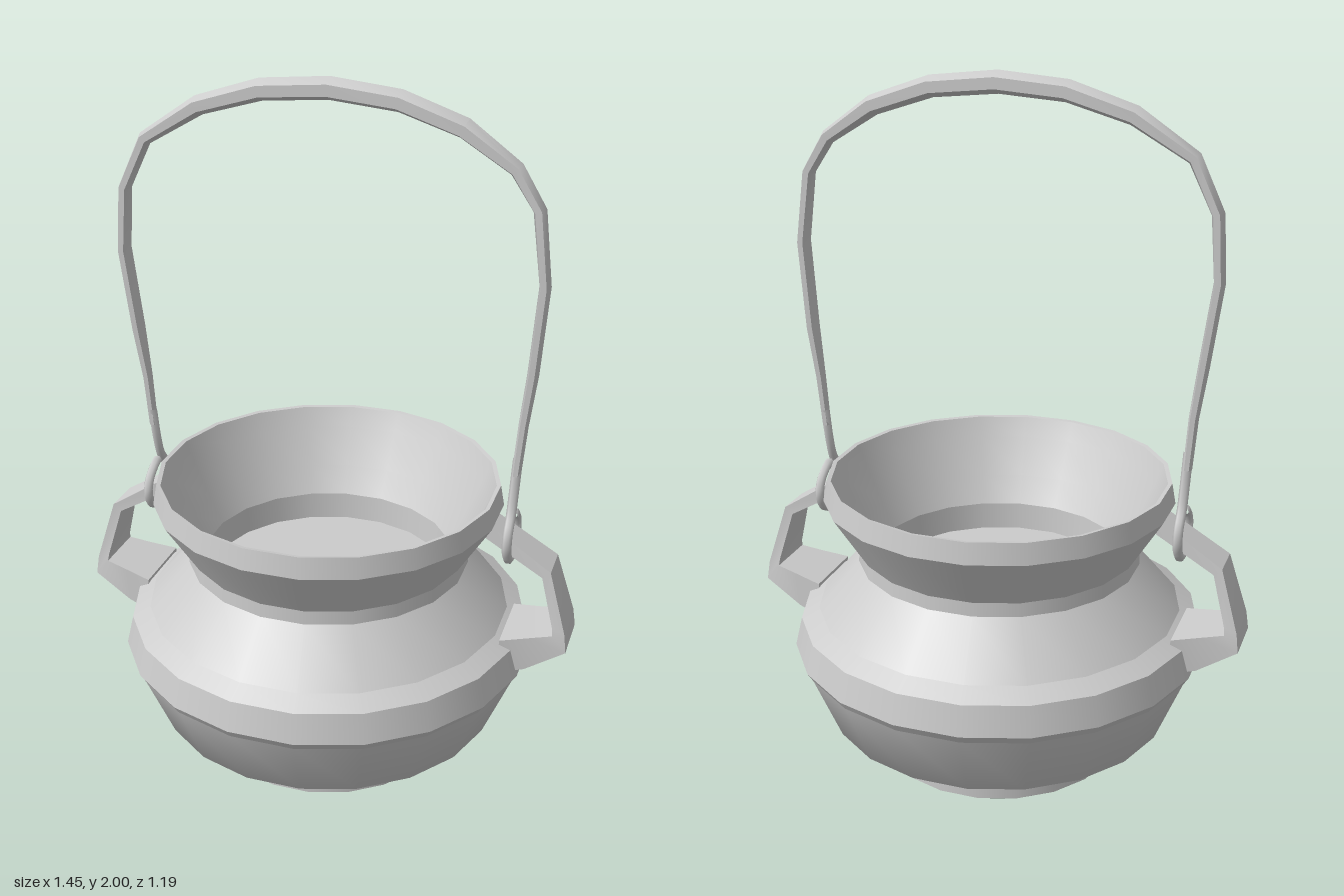
import * as THREE from 'three';
import { mergeGeometries, toCreasedNormals } from 'three/addons/utils/BufferGeometryUtils.js';

const SIDES = 20;
const metal = new THREE.MeshStandardMaterial({ color: 0xcccccc });

function part(name, geometry) {
  const mesh = new THREE.Mesh(geometry, metal);
  mesh.name = name;
  return mesh;
}

// Each section is smooth in itself; the joints between sections stay sharp.
function turned(sections) {
  return mergeGeometries(sections.map((pts) => new THREE.LatheGeometry(
    pts.map(([r, y]) => new THREE.Vector2(r, y)), SIDES, Math.PI / SIDES)));
}

// Skin a row of equal-sized rings (counter-clockwise about the travel direction), with end caps.
function loft(rings, crease) {
  const n = rings[0].length, index = [], last = (rings.length - 1) * n;
  for (let r = 0; r < rings.length - 1; r++) {
    for (let i = 0; i < n; i++) {
      const a = r * n + i, b = r * n + (i + 1) % n;
      index.push(a, b, b + n, a, b + n, a + n);
    }
  }
  for (let i = 1; i < n - 1; i++) {
    index.push(0, i + 1, i, last, last + i, last + i + 1);
  }
  const g = new THREE.BufferGeometry();
  g.setAttribute('position', new THREE.Float32BufferAttribute(rings.flat(2), 3));
  g.setIndex(index);
  return toCreasedNormals(g, crease);
}

// Side lug: [inner x, inner y, outer x, outer y, half width]
function lugGeometry() {
  const stations = [
    [0.54, 0.475, 0.54, 0.37, 0.105],
    [0.62, 0.49, 0.612, 0.385, 0.09],
    [0.685, 0.503, 0.725, 0.455, 0.08],
    [0.682, 0.525, 0.718, 0.51, 0.075],
    [0.642, 0.67, 0.665, 0.69, 0.056],
    [0.47, 0.765, 0.48, 0.807, 0.044],
  ];
  return loft(stations.map(([ix, iy, ox, oy, w]) => [
    [ix, iy, -w], [ix, iy, w], [ox, oy, w], [ox, oy, -w],
  ]), 0.4);
}

// Wire end that drops from the bail and curls around the lug
function hookGeometry() {
  const pts = [
    [0.545, 1.0, 0.0], [0.541, 0.9, 0.012], [0.54, 0.84, 0.03], [0.54, 0.79, 0.066],
    [0.54, 0.74, 0.066], [0.54, 0.698, 0.03], [0.54, 0.698, -0.03], [0.54, 0.745, -0.07],
    [0.54, 0.79, -0.06], [0.54, 0.822, -0.02], [0.545, 0.825, 0.015],
  ].map((p) => new THREE.Vector3(...p));
  return new THREE.TubeGeometry(new THREE.CatmullRomCurve3(pts), 32, 0.014, 6);
}

// Bail: [x, y, z, half thickness, half width]
function bailGeometry() {
  const path = [
    [-0.545, 0.95, -0.004, 0.013, 0.014],
    [-0.556, 1.1, -0.004, 0.014, 0.017],
    [-0.577, 1.25, -0.005, 0.016, 0.026],
    [-0.608, 1.48, -0.008, 0.016, 0.028],
    [-0.596, 1.66, -0.01, 0.018, 0.026],
    [-0.53, 1.8, -0.014, 0.02, 0.024],
    [-0.37, 1.9, -0.016, 0.027, 0.034],
    [-0.19, 1.954, -0.014, 0.03, 0.036],
    [0, 1.969, -0.012, 0.031, 0.036],
    [0.19, 1.95, -0.008, 0.03, 0.036],
    [0.36, 1.893, -0.006, 0.028, 0.038],
    [0.5, 1.8, 0, 0.021, 0.026],
    [0.565, 1.7, 0.004, 0.018, 0.025],
    [0.59, 1.5, 0.002, 0.016, 0.028],
    [0.572, 1.25, 0, 0.016, 0.026],
    [0.555, 1.1, 0.002, 0.014, 0.017],
    [0.543, 0.95, 0.004, 0.013, 0.014],
  ];
  const rings = path.map(([x, y, z, t, w], i) => {
    const p = path[Math.max(i - 1, 0)], q = path[Math.min(i + 1, path.length - 1)];
    const len = Math.hypot(q[0] - p[0], q[1] - p[1]);
    const nx = -(q[1] - p[1]) / len, ny = (q[0] - p[0]) / len;
    return Array.from({ length: 6 }, (_, k) => {
      const a = (k / 6) * Math.PI * 2, c = Math.cos(a) * t;
      return [x + nx * c, y + ny * c, z + Math.sin(a) * w * 1.15];
    });
  });
  return loft(rings, 0.7);
}

export function createModel() {
  const model = new THREE.Group();
  model.name = 'cauldron';

  // Foot ring with a recessed underside
  model.add(part('foot', turned([
    [[0, 0.018], [0.3, 0.018]],
    [[0.3, 0.018], [0.31, 0.002]],
    [[0.31, 0.002], [0.34, 0]],
    [[0.34, 0], [0.357, 0.012]],
    [[0.357, 0.012], [0.357, 0.045]],
  ])));

  // Outer body: bowl, belly band, shoulder and neck
  model.add(part('body', turned([
    [[0.352, 0.043], [0.505, 0.14], [0.586, 0.335]],
    [[0.586, 0.335], [0.602, 0.36]],
    [[0.602, 0.36], [0.582, 0.445]],
    [[0.582, 0.445], [0.53, 0.475]],
    [[0.53, 0.475], [0.41, 0.615]],
    [[0.41, 0.615], [0.408, 0.655]],
  ])));

  // Flared mouth and lip
  model.add(part('mouth', turned([
    [[0.408, 0.655], [0.505, 0.81]],
    [[0.505, 0.81], [0.494, 0.87]],
    [[0.494, 0.87], [0.482, 0.868]],
    [[0.482, 0.868], [0.458, 0.81], [0.405, 0.7], [0.362, 0.62]],
  ])));

  // Inner wall and floor
  model.add(part('interior', turned([
    [[0.362, 0.62], [0.356, 0.54]],
    [[0.356, 0.54], [0, 0.54]],
  ])));

  // Lugs and hooks on both sides
  const lug = lugGeometry(), hook = hookGeometry();
  for (const [side, turn] of [['left', 0], ['right', Math.PI]]) {
    const group = new THREE.Group();
    group.name = side + 'Mount';
    group.add(part(side + 'Lug', lug), part(side + 'Hook', hook));
    group.rotation.y = turn;
    model.add(group);
  }

  model.add(part('bail', bailGeometry()));
  return model;
}
